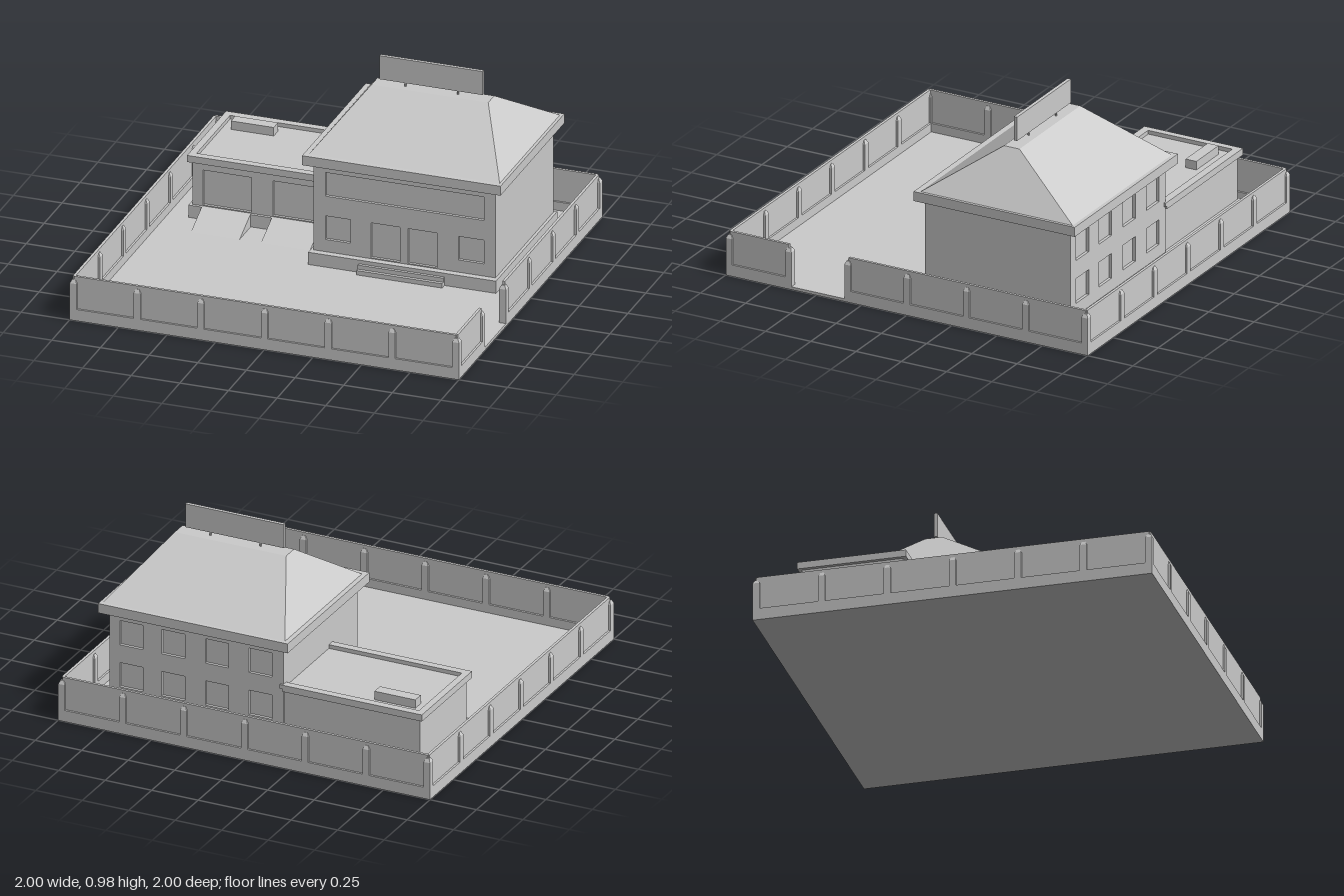
import * as THREE from 'three';

const material = new THREE.MeshStandardMaterial({ color: 0xcccccc, flatShading: true });

function add(parent, geometry, name) {
  const mesh = new THREE.Mesh(geometry, material);
  mesh.name = name;
  parent.add(mesh);
  return mesh;
}

// Box given by its limits on each axis
function box(parent, name, x0, x1, y0, y1, z0, z1) {
  const mesh = add(parent, new THREE.BoxGeometry(x1 - x0, y1 - y0, z1 - z0), name);
  mesh.position.set((x0 + x1) / 2, (y0 + y1) / 2, (z0 + z1) / 2);
  return mesh;
}

function rectPoints(x0, x1, y0, y1) {
  return [[x0, y0], [x1, y0], [x1, y1], [x0, y1]].map(p => new THREE.Vector2(...p));
}

// Upright panel with rectangular openings, extruded along +z
function pierced(outer, openings, depth) {
  const shape = new THREE.Shape(rectPoints(...outer));
  for (const o of openings) shape.holes.push(new THREE.Path(rectPoints(...o).reverse()));
  return new THREE.ExtrudeGeometry(shape, { depth, bevelEnabled: false });
}

// Box whose top face is pulled in to other limits
function taper(parent, name, [x0, x1, z0, z1], [tx0, tx1, tz0, tz1], y0, y1) {
  const g = new THREE.BoxGeometry(1, 1, 1);
  const p = g.attributes.position;
  for (let i = 0; i < p.count; i++) {
    const top = p.getY(i) > 0, right = p.getX(i) > 0, front = p.getZ(i) > 0;
    p.setXYZ(i,
      top ? (right ? tx1 : tx0) : (right ? x1 : x0),
      top ? y1 : y0,
      top ? (front ? tz1 : tz0) : (front ? z1 : z0));
  }
  g.computeVertexNormals();
  return add(parent, g, name);
}

// One straight side of the compound wall, running along x at z = 0.982
function wallSide(name, gate) {
  const side = new THREE.Group();
  side.name = name;
  const c = 0.9825, h = 0.0175, step = (2 * c) / 6;
  for (let i = 0; i < 6; i++) {
    if (i === gate) continue;
    const a = -c + i * step, b = a + step;
    box(side, 'wallPanel', a, b, 0.05, 0.23, c - 0.007, c + 0.007);
    box(side, 'wallFooting', i === 0 ? -1 : a, i === 5 ? 1 : b, 0, 0.06, c - h, c + h);
  }
  // Posts with chamfered tops
  for (let i = 0; i < 6; i++) {
    const x = -c + i * step;
    box(side, 'wallPost', x - h, x + h, 0, 0.195, c - h, c + h);
    taper(side, 'postCap', [x - h, x + h, c - h, c + h],
      [x - 0.009, x + 0.009, c - 0.009, c + 0.009], 0.195, 0.213);
  }
  return side;
}

function mainBuilding() {
  const g = new THREE.Group();
  g.name = 'mainBuilding';
  const columns = [[-0.055, 0.07], [0.18, 0.305], [0.415, 0.54], [0.64, 0.765]];

  box(g, 'plinth', -0.13, 0.835, 0.01, 0.08, -0.82, 0.035);
  box(g, 'walls', -0.115, 0.82, 0.07, 0.55, -0.79, -0.015);

  // Front with a wide upper recess, two windows and two doors
  const front = add(g, pierced([-0.115, 0.82, 0.07, 0.55], [
    [-0.055, 0.76, 0.375, 0.5],
    [-0.055, 0.075, 0.145, 0.27], [0.63, 0.76, 0.145, 0.27],
    [0.18, 0.33, 0.085, 0.27], [0.37, 0.52, 0.085, 0.27],
  ], 0.015), 'frontFacade');
  front.position.z = -0.015;

  // Back with two rows of windows
  const windows = columns.flatMap(c => [[...c, 0.145, 0.275], [...c, 0.37, 0.5]]);
  const back = add(g, pierced([-0.115, 0.82, 0.07, 0.55], windows, 0.015), 'backFacade');
  back.position.z = -0.805;

  box(g, 'upperStep', 0.13, 0.57, 0.01, 0.06, 0.03, 0.05);
  box(g, 'lowerStep', 0.13, 0.57, 0.01, 0.038, 0.03, 0.067);

  // Hipped roof on its eaves
  box(g, 'eaves', -0.16, 0.86, 0.54, 0.59, -0.85, 0.04);
  taper(g, 'hippedRoof', [-0.135, 0.845, -0.83, 0.01], [0.055, 0.655, -0.43, -0.345], 0.59, 0.835);

  // Blank rooftop board on two short poles
  box(g, 'roofBoard', 0.085, 0.615, 0.855, 0.98, -0.395, -0.377);
  for (const x of [0.215, 0.485]) {
    const pole = add(g, new THREE.CylinderGeometry(0.005, 0.005, 0.05, 8), 'boardPole');
    pole.position.set(x, 0.845, -0.386);
  }
  return g;
}

function garageWing() {
  const g = new THREE.Group();
  g.name = 'garageWing';
  const doors = [[-0.79, -0.54], [-0.43, -0.178]];

  box(g, 'plinth', -0.86, -0.115, 0.01, 0.08, -0.81, -0.275);
  box(g, 'walls', -0.845, -0.115, 0.07, 0.315, -0.795, -0.305);
  const front = add(g, pierced([-0.845, -0.115, 0.07, 0.315],
    doors.map(d => [...d, 0.085, 0.27]), 0.015), 'garageFront');
  front.position.z = -0.305;

  // Flat roof with raised rim
  box(g, 'roofSlab', -0.865, -0.115, 0.31, 0.325, -0.815, -0.27);
  const rim = add(g, pierced([-0.865, -0.1, 0.27, 0.815], [[-0.83, -0.115, 0.31, 0.775]], 0.02), 'roofRim');
  rim.rotation.x = -Math.PI / 2;
  rim.position.y = 0.325;
  box(g, 'roofUnit', -0.785, -0.565, 0.32, 0.37, -0.725, -0.665);

  // Driveway ramps up to the doors
  for (const [x0, x1] of doors) {
    taper(g, 'ramp', [x0, x1, -0.28, -0.115], [x0, x1, -0.28, -0.27], 0.012, 0.082);
  }
  return g;
}

export function createModel() {
  const model = new THREE.Group();
  model.name = 'walledCompound';
  box(model, 'yard', -0.99, 0.99, 0, 0.015, -0.99, 0.99);
  box(model, 'gateThreshold', 0.965, 1, 0, 0.015, 0.33, 0.655);

  // Four wall sides; the one on +x has the gate opening
  ['frontWall', 'gateWall', 'backWall', 'sideWall'].forEach((name, i) => {
    const side = wallSide(name, i === 1 ? 1 - 1 + 1 : -1);
    side.rotation.y = i * Math.PI / 2;
    model.add(side);
  });

  model.add(mainBuilding(), garageWing());
  return model;
}
